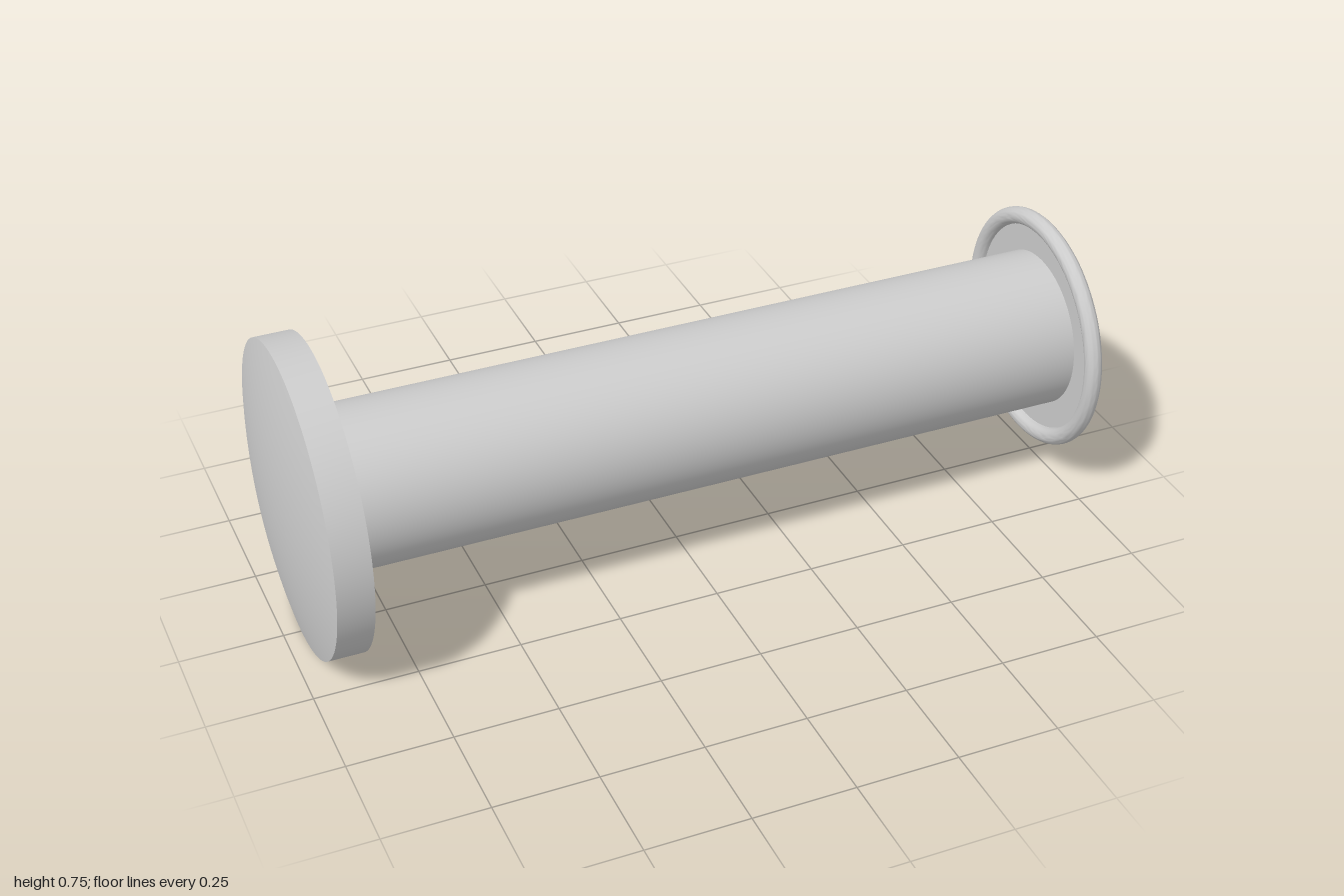
import * as THREE from 'three';
import { toCreasedNormals } from 'three/addons/utils/BufferGeometryUtils.js';

const AXIS_Y = 0.377;
const HEAD_R = 0.377;
const SHANK_R = 0.196;
const BORE_R = 0.133;
const SEGMENTS = 96;

// Revolves [x, radius] points around the horizontal axis; outer walls run towards +x.
function turned(name, profile, material) {
  const points = profile.map(([x, r]) => new THREE.Vector2(r, x));
  const lathe = new THREE.LatheGeometry(points, SEGMENTS).rotateZ(-Math.PI / 2);
  const mesh = new THREE.Mesh(toCreasedNormals(lathe, Math.PI / 6), material);
  mesh.name = name;
  mesh.position.y = AXIS_Y;
  return mesh;
}

// Points of a circular arc in the [x, radius] plane.
function arc(cx, cr, radius, from, to, steps) {
  return Array.from({ length: steps + 1 }, (_, i) => {
    const a = from + ((to - from) * i) / steps;
    return [cx + radius * Math.cos(a), Math.max(0, cr + radius * Math.sin(a))];
  });
}

export function createModel() {
  const group = new THREE.Group();
  group.name = 'rivet';
  const material = new THREE.MeshStandardMaterial({ color: 0xcccccc });

  // Head: shallow spherical dome, straight rim and flat underside
  const sag = 0.043;
  const domeR = (HEAD_R ** 2 + sag ** 2) / (2 * sag);
  const domeAngle = Math.asin(HEAD_R / domeR);
  group.add(turned('head', [
    ...arc(domeR - 1, 0, domeR, Math.PI, Math.PI - domeAngle, 12),
    [-0.87, HEAD_R],
    [-0.87, SHANK_R],
  ], material));

  // Shank
  group.add(turned('shank', [[-0.87, SHANK_R], [0.979, SHANK_R]], material));

  // Flange: thin disc with a rounded bead standing proud of its back face
  const bead = 0.0215;
  group.add(turned('flange', [
    [1 - bead, SHANK_R],
    ...arc(1 - bead, 0.306 - bead, bead, Math.PI * 1.5 - Math.PI / 2 + Math.PI / 2, Math.PI, 6),
    ...arc(1 - bead, 0.306 - bead, bead, Math.PI, 0, 16).slice(1),
    [1, BORE_R],
  ], material));

  // Blind bore with a conical bottom
  group.add(turned('bore', [[1, BORE_R], [0.5, BORE_R], [0.39, 0]], material));

  return group;
}
